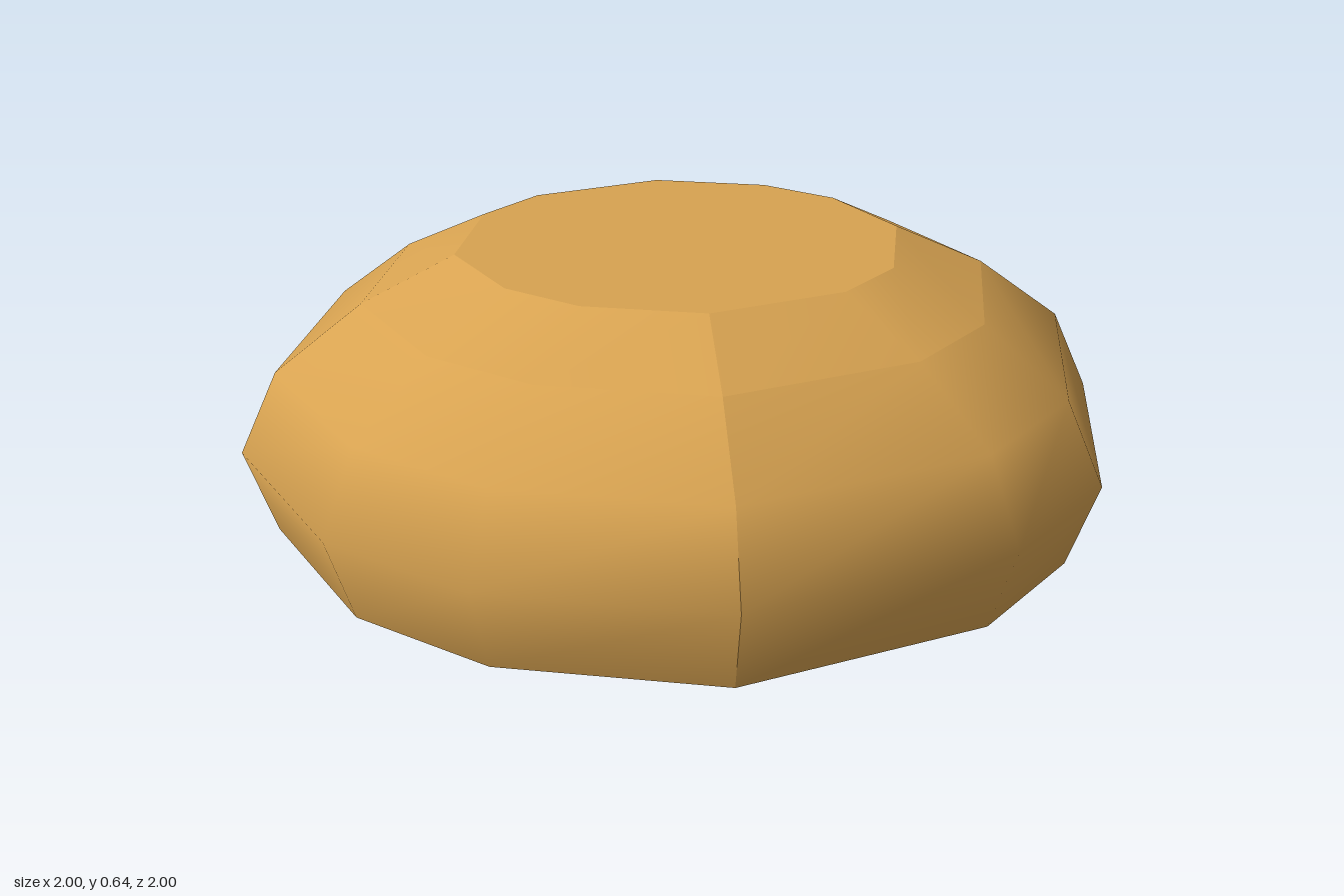
import * as THREE from 'three';

const stone = new THREE.MeshStandardMaterial({ color: 0xd8a351 });
stone.name = 'amber stone';

// Widest outline as four sides of three facets, each [x, z], running counter-clockwise from above
const front = [[-0.69, 0.765], [-0.2, 1], [0.2, 1], [0.69, 0.765]];
const right = [[0.69, 0.765], [1, 0.2], [1, -0.2], [0.69, -0.765]];
const opposite = (side) => side.map(([x, z]) => [-x, -z]);
const sides = { front, left: right, back: opposite(front), right: opposite(right) };

// Height and scale of each ring
const lowerRings = [[0, 0.93], [0.2, 1], [0.39, 0.915], [0.54, 0.72]];
const upperRings = [[0.54, 0.72], [0.642, 0.51]];

// One smooth patch: a side outline swept up through the rings
function patch(side, rings) {
  const positions = [];
  const index = [];
  const n = side.length;
  for (const [y, s] of rings) for (const [x, z] of side) positions.push(x * s, y, z * s);
  for (let r = 0; r < rings.length - 1; r++) {
    for (let c = 0; c < n - 1; c++) {
      const a = r * n + c;
      index.push(a, a + 1, a + n + 1, a, a + n + 1, a + n);
    }
  }
  const geometry = new THREE.BufferGeometry();
  geometry.setAttribute('position', new THREE.Float32BufferAttribute(positions, 3));
  geometry.setIndex(index);
  geometry.computeVertexNormals();
  return geometry;
}

// Flat twelve-sided cap; direction 1 faces up, -1 faces down
function cap([y, s], direction) {
  const points = Object.values(sides)
    .flatMap((side) => side.slice(0, -1))
    .map(([x, z]) => new THREE.Vector2(x * s, -z * s));
  return new THREE.ShapeGeometry(new THREE.Shape(points))
    .rotateX((-direction * Math.PI) / 2)
    .translate(0, y, 0);
}

export function createModel() {
  const model = new THREE.Group();
  model.name = 'facetedStone';
  const add = (name, geometry) => {
    const mesh = new THREE.Mesh(geometry, stone);
    mesh.name = name;
    model.add(mesh);
  };

  // Rounded sides and bevel, creased at the four corners
  for (const [name, side] of Object.entries(sides)) {
    add(`${name}Side`, patch(side, lowerRings));
    add(`${name}Bevel`, patch(side, upperRings));
  }

  // Flat top and base
  add('top', cap(upperRings[1], 1));
  add('base', cap(lowerRings[0], -1));
  return model;
}
